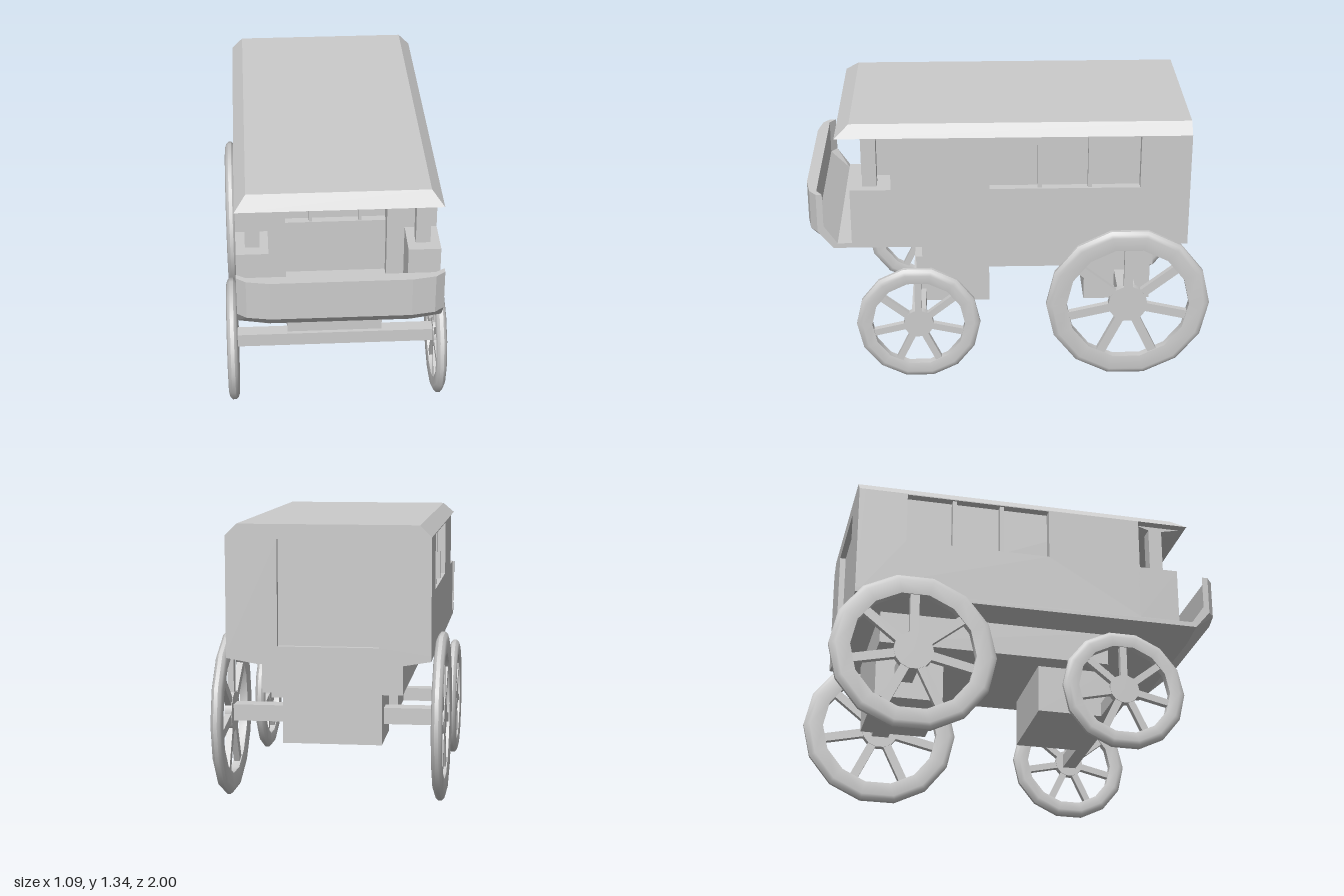
import * as THREE from 'three';
import { toCreasedNormals } from 'three/addons/utils/BufferGeometryUtils.js';

const material = new THREE.MeshStandardMaterial({ color: 0xcccccc });

function add(parent, name, geometry) {
  const mesh = new THREE.Mesh(geometry, material);
  mesh.name = name;
  parent.add(mesh);
  return mesh;
}

// Box given by its limits on each axis
function box(parent, name, x0, x1, y0, y1, z0, z1) {
  const g = new THREE.BoxGeometry(x1 - x0, y1 - y0, z1 - z0);
  g.translate((x0 + x1) / 2, (y0 + y1) / 2, (z0 + z1) / 2);
  return add(parent, name, g);
}

const polygon = (pts) => new THREE.Shape(pts.map(([x, y]) => new THREE.Vector2(x, y)));
const rectangle = (x0, x1, y0, y1) => polygon([[x0, y0], [x1, y0], [x1, y1], [x0, y1]]);
const extrude = (shape, depth) => new THREE.ExtrudeGeometry(shape, { depth, bevelEnabled: false });

// Extrude a (z, y) shape across x, from x1 - depth to x1
function extrudeAcross(shape, x1, depth) {
  return extrude(shape, depth).rotateY(-Math.PI / 2).translate(x1, 0, 0);
}

// Wheel on the x axis: bevelled 14-sided rim, seven spokes, hub
function createWheel(name, radius, x, y, z) {
  const wheel = new THREE.Group();
  wheel.name = name;
  const inner = radius * 0.75;
  const profile = [
    [inner, -0.02], [radius - 0.03, -0.027], [radius - 0.012, -0.021], [radius, -0.009],
    [radius, 0.009], [radius - 0.012, 0.021], [radius - 0.03, 0.027], [inner, 0.02], [inner, -0.02],
  ].map(([r, h]) => new THREE.Vector2(r, h));
  const rim = new THREE.LatheGeometry(profile, 14).rotateZ(Math.PI / 2);
  add(wheel, 'rim', toCreasedNormals(rim, 0.6));

  const hub = new THREE.CylinderGeometry(radius * 0.24, radius * 0.24, 0.036, 14);
  add(wheel, 'hub', hub.rotateZ(Math.PI / 2));
  for (let i = 0; i < 7; i++) {
    const length = inner - radius * 0.16;
    const spoke = new THREE.BoxGeometry(0.03, length, radius * 0.11);
    spoke.translate(0, radius * 0.18 + length / 2, 0).rotateX((i / 7) * Math.PI * 2);
    add(wheel, 'spoke', spoke);
  }
  wheel.position.set(x, y, z);
  return wheel;
}

// Curved front apron lofted across x from six-point (z, y) profiles
function createApron() {
  const half = [
    [0.33, 1.0, 0.945, 0.685],
    [0.44, 0.98, 0.945, 0.702],
    [0.485, 0.945, 0.915, 0.71],
  ];
  const stations = [...half.map(([x, ...r]) => [-x, ...r]).reverse(), ...half];
  const positions = [], index = [];
  for (const [x, front, back, bottom] of stations) {
    const profile = [
      [0.87, bottom], [front, 0.8], [front, 1.0], [back, 1.0], [back, 0.83], [0.85, 0.735],
    ];
    for (const [z, y] of profile) positions.push(x, y, z);
  }
  const quad = (a, b, c, d) => index.push(a, b, c, a, c, d);
  for (let i = 0; i < stations.length - 1; i++) {
    for (let j = 0; j < 6; j++) {
      const k = (j + 1) % 6;
      quad(i * 6 + j, i * 6 + 6 + j, i * 6 + 6 + k, i * 6 + k);
    }
  }
  const e = (stations.length - 1) * 6;
  quad(0, 1, 4, 5);
  quad(1, 2, 3, 4);
  quad(e + 5, e + 4, e + 1, e);
  quad(e + 4, e + 3, e + 2, e + 1);
  const g = new THREE.BufferGeometry();
  g.setAttribute('position', new THREE.Float32BufferAttribute(positions, 3));
  g.setIndex(index);
  return toCreasedNormals(g, 0.1);
}

// Roof: a box whose top is drawn in at the sides and the front
function createRoof() {
  const g = new THREE.BoxGeometry(0.97, 0.055, 1.725).translate(0, 1.3175, -0.0175);
  const p = g.attributes.position;
  for (let i = 0; i < p.count; i++) {
    if (p.getY(i) < 1.32) continue;
    p.setX(i, Math.sign(p.getX(i)) * 0.43);
    if (p.getZ(i) > 0) p.setZ(i, 0.775);
  }
  return toCreasedNormals(g, 0.1);
}

export function createModel() {
  const model = new THREE.Group();
  model.name = 'wagon';

  // Floor with a shallow keel
  const floor = polygon([
    [-0.34, 0.685], [0.34, 0.685], [0.485, 0.71], [0.485, 0.735], [-0.485, 0.735], [-0.485, 0.71],
  ]);
  add(model, 'floor', extrude(floor, 1.75).translate(0, 0, -0.88));
  add(model, 'frontApron', createApron());
  add(model, 'roof', createRoof());

  // Cabin core, whose faces form the recessed panes
  box(model, 'cabinCore', -0.44, 0.44, 0.73, 1.29, -0.85, 0.47);

  // Rear wall with a recessed door
  const rear = rectangle(-0.485, 0.485, 0.735, 1.29);
  rear.holes.push(rectangle(-0.24, 0.24, 0.77, 1.275));
  add(model, 'rearWall', extrude(rear, 0.03).translate(0, 0, -0.88));

  // Front partition with three panes
  box(model, 'partitionSill', -0.25, 0.25, 0.73, 1.02, 0.46, 0.51);
  for (const x of [-0.12, 0.12]) {
    box(model, 'partitionMullion', x - 0.008, x + 0.008, 1.02, 1.29, 0.46, 0.505);
  }

  for (const s of [-1, 1]) {
    const side = new THREE.Group();
    side.name = s > 0 ? 'leftSide' : 'rightSide';
    model.add(side);
    const mirrored = (name, a, b, ...rest) =>
      box(side, name, Math.min(s * a, s * b), Math.max(s * a, s * b), ...rest);

    // Side wall with a window band and two mullions
    const wall = rectangle(-0.85, 0.58, 0.735, 1.29);
    wall.holes.push(rectangle(-0.635, 0.1, 1.02, 1.285));
    add(side, 'sideWall', extrudeAcross(wall, s > 0 ? 0.485 : -0.435, 0.05));
    for (const z of [-0.145, -0.39]) {
      mirrored('windowMullion', 0.43, 0.475, 1.02, 1.285, z - 0.01, z + 0.01);
    }

    // Bulkhead, seat box and bracketed roof post
    mirrored('bulkhead', 0.245, 0.44, 0.735, 1.29, 0.46, 0.58);
    mirrored('seatBox', 0.33, 0.485, 0.735, 1.02, 0.575, 0.78);
    const post = polygon([
      [0.65, 1.02], [0.72, 1.02], [0.72, 1.27], [0.825, 1.292], [0.58, 1.292], [0.65, 1.27],
    ]);
    add(side, 'roofPost', extrudeAcross(post, s > 0 ? 0.44 : -0.37, 0.07));

    // Wheels
    side.add(createWheel('frontWheel', 0.31, s * 0.518, 0.303, 0.46));
    side.add(createWheel('rearWheel', 0.41, s * 0.518, 0.4, -0.59));
  }

  // Undercarriage
  box(model, 'chassis', -0.34, 0.34, 0.52, 0.695, -0.73, 0.44);
  box(model, 'frontAxleBlock', -0.24, 0.24, 0.275, 0.53, 0.1, 0.475);
  box(model, 'rearAxleBlock', -0.24, 0.24, 0.275, 0.53, -0.73, -0.39);
  box(model, 'frontAxle', -0.51, 0.51, 0.275, 0.345, 0.425, 0.495);
  box(model, 'rearAxle', -0.51, 0.51, 0.36, 0.44, -0.635, -0.545);
  return model;
}
